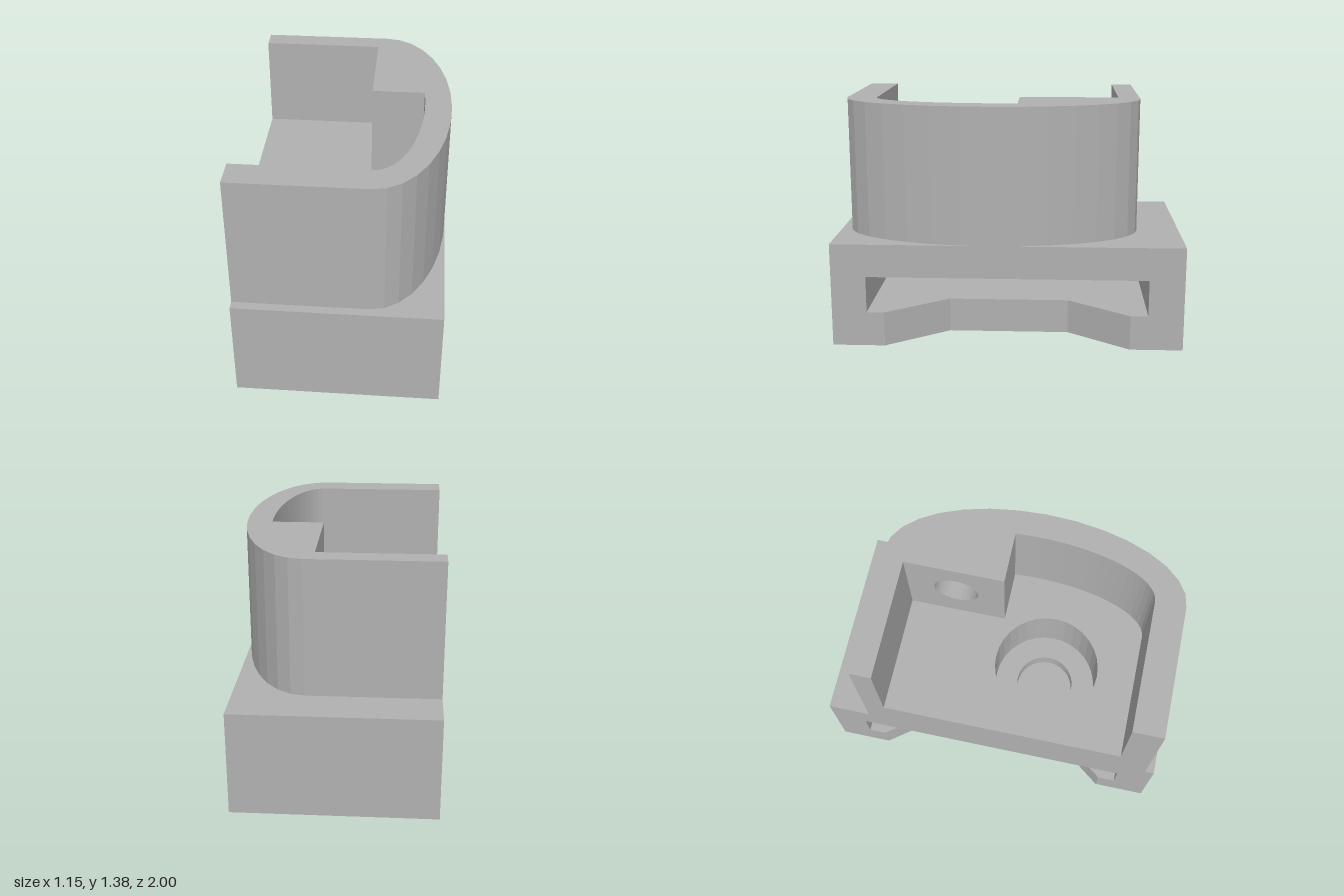
import * as THREE from 'three';

const grey = new THREE.MeshStandardMaterial({ color: 0xb0b0b0 });
grey.name = 'grey plastic';

// Closed shape from [x, z] points (stored as x, -z so it can be laid flat)
const outline = (pts) => new THREE.Shape(pts.map(([x, z]) => new THREE.Vector2(x, -z)));

// Points on half an ellipse bulging to +x, from angle t0 to t1 (steps of 11.25 degrees)
function bulge(a, b, zc, t0, t1, steps) {
  const pts = [];
  for (let i = 0; i <= steps; i++) {
    const t = t0 + (t1 - t0) * i / steps;
    pts.push([0.175 + a * Math.cos(t), zc + b * Math.sin(t)]);
  }
  return pts;
}

function addHole(shape, x, y, r) {
  shape.holes.push(new THREE.Path().absarc(x, y, r, 0, Math.PI * 2, true));
  return shape;
}

// Horizontal slab of a shape between two heights
function slab(name, shape, y0, y1) {
  const geo = new THREE.ExtrudeGeometry(shape, { depth: y1 - y0, bevelEnabled: false, curveSegments: 16 });
  geo.rotateX(-Math.PI / 2).translate(0, y0, 0);
  const mesh = new THREE.Mesh(geo, grey);
  mesh.name = name;
  return mesh;
}

export function createModel() {
  const model = new THREE.Group();
  model.name = 'slottedMount';
  const W = 0.575, H = Math.PI / 2;
  const rect = (z0, z1) => outline([[-W, z0], [-W, z1], [W, z1], [W, z0]]);
  const cupOuter = () => bulge(0.4, 0.85, 0.0975, H, -H, 16);
  const bore = (shape, r) => addHole(shape, -0.125, -0.25, r);

  // Bottom plate, waisted on both sides
  const side = [[W, 1], [W, 0.7], [W - 0.26, 0.35], [W - 0.26, -0.35], [W, -0.7], [W, -1]];
  const mirrored = side.map(([x, z]) => [-x, z]).reverse();
  model.add(slab('bottomPlate', outline([...side, ...mirrored]), 0, 0.2));

  // Pillars closing the ends of the slot
  model.add(slab('frontPillar', rect(0.8, 1), 0.2, 0.41));
  model.add(slab('backPillar', rect(-1, -0.8), 0.2, 0.41));

  // Body above the slot with the stepped bore
  model.add(slab('boreLedge', bore(rect(-1, 1), 0.17), 0.41, 0.5));
  model.add(slab('upperBody', bore(rect(-1, 1), 0.305), 0.5, 0.6));
  const floor = outline([[-W, 0.9475], ...cupOuter(), [-W, -0.7525]]);
  model.add(slab('cupFloor', bore(floor, 0.305), 0.6, 0.83));

  // Curved wall, open to -x
  const inner = bulge(0.25, 0.7025, 0.0725, Math.asin(-0.1275 / 0.7025), H, 17);
  const wall = outline([
    [-W, 0.9475], ...cupOuter(), [-W, -0.7525],
    [-W, -0.63], [0.35, -0.63], [0.35, -0.055], ...inner, [-W, 0.775],
  ]);
  model.add(slab('cupWall', wall, 0.83, 1.38));

  // Corner block with a blind sideways hole
  const face = new THREE.Shape([[0.63, 0.83], [0.63, 1.38], [0.055, 1.38], [0.055, 0.83]]
    .map(([x, y]) => new THREE.Vector2(x, y)));
  addHole(face, 0.34, 1.12, 0.13);
  const blockGeo = new THREE.ExtrudeGeometry(face, { depth: 0.23, bevelEnabled: false, curveSegments: 16 });
  blockGeo.rotateY(H).translate(0.12, 0, 0);
  const block = new THREE.Mesh(blockGeo, grey);
  block.name = 'cornerBlock';
  model.add(block);

  return model;
}
